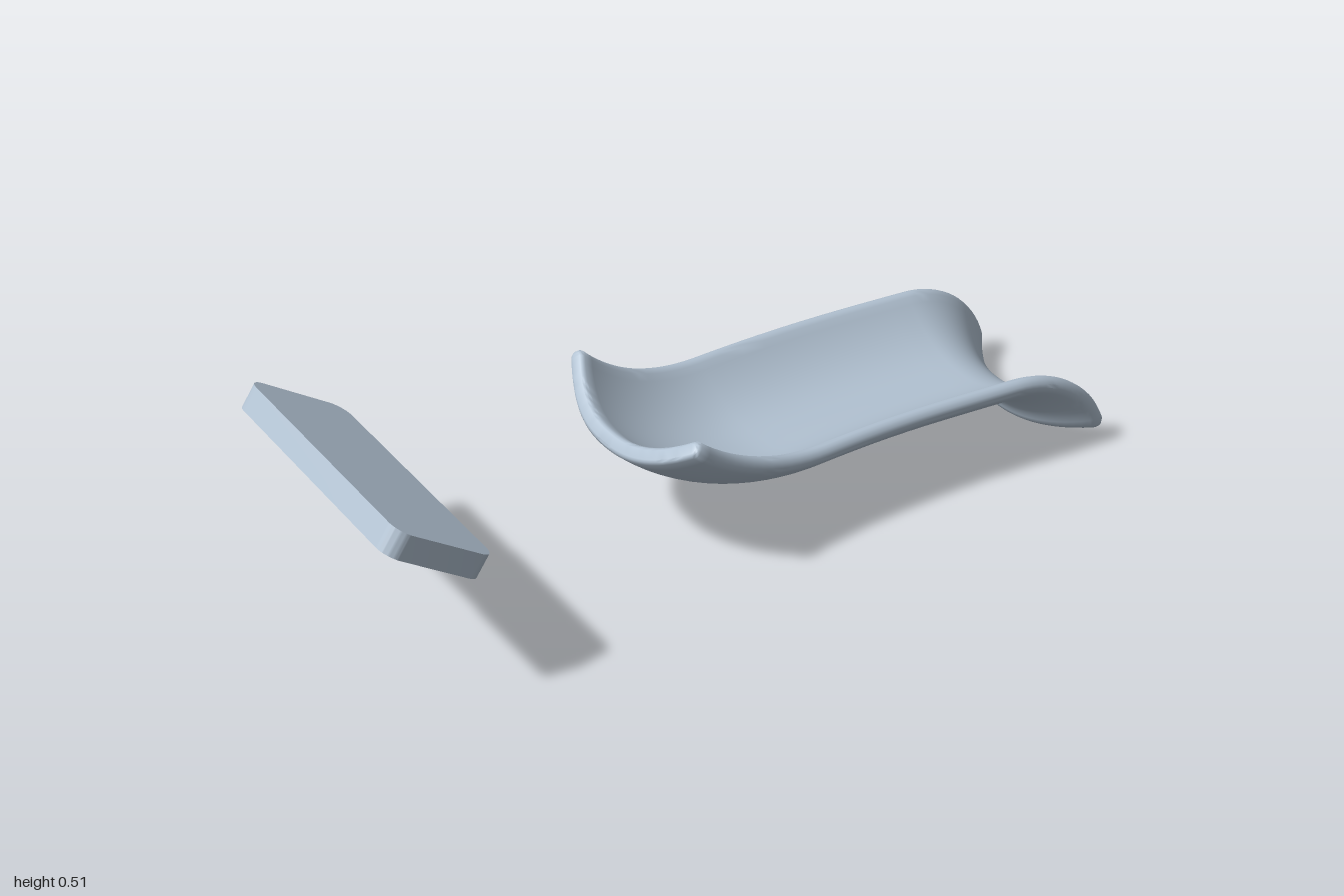
import * as THREE from 'three';
import { toCreasedNormals } from 'three/addons/utils/BufferGeometryUtils.js';

const HALF_THICK = 0.0225, HALF_WIDTH = 0.258, DEPTH = 0.106;
const rad = THREE.MathUtils.degToRad;

// Closed cross-section [across, up] of a shallow channel with rounded rims.
// Point j and point (length - 1 - j) face each other through the wall.
function section(h) {
  const side = (sign) => {
    const pts = [];
    const add = (p, along, out) => {
      const slope = Math.sign(p) * 2.3 * DEPTH / HALF_WIDTH * Math.abs(p) ** 1.3;
      const len = Math.hypot(1, slope);
      const tx = 1 / len, ty = slope / len;
      pts.push([
        HALF_WIDTH * p + h * (along * tx - out * ty),
        HALF_THICK + DEPTH * Math.abs(p) ** 2.3 + h * (along * ty + out * tx),
      ]);
    };
    for (const f of [15, 40, 65]) add(-1, -Math.cos(rad(f)), sign * Math.sin(rad(f)));
    for (let i = 0; i <= 32; i++) add(i / 16 - 1, 0, sign);
    for (const f of [65, 40, 15]) add(1, Math.cos(rad(f)), sign * Math.sin(rad(f)));
    return pts;
  };
  return [...side(-1), ...side(1).reverse()];
}

// Sections along the channel: upward bend, straight run, downward bend
function stations() {
  const list = [];
  const left = (deg, k) => list.push({ k, place: (n) => {
    const a = rad(deg), r = 0.68 - n;
    return [0.225 - r * Math.sin(a), 0.78 - r * Math.cos(a)];
  } });
  const right = (deg, k) => list.push({ k, place: (n) => {
    const a = rad(deg), r = 0.13 + n;
    return [0.84 + r * Math.sin(a), -0.03 + r * Math.cos(a)];
  } });
  left(44, 0.55); left(43.7, 0.8); left(43, 1);
  for (let i = 1; i <= 14; i++) left(43 * (1 - i / 14), 1);
  for (let i = 1; i < 10; i++) list.push({ k: 1, place: (n) => [0.225 + 0.0615 * i, 0.1 + n] });
  for (let i = 0; i <= 16; i++) right(70.5 * i / 16, 1);
  right(73, 0.8); right(74, 0.55);
  return list;
}

function channelGeometry() {
  const pos = [], index = [];
  const rings = stations();
  const m = section(HALF_THICK).length;
  for (const { k, place } of rings) {
    for (const [t, n] of section(HALF_THICK * k)) {
      const [s, y] = place(n);
      // Gentle sideways bow, sections staying square to it
      const q = Math.PI * THREE.MathUtils.clamp((s + 0.2) / 1.32, 0, 1);
      const bow = -0.03 * Math.sin(q) ** 2;
      const slope = -0.0714 * Math.sin(2 * q);
      pos.push(s - slope * t, y, t + bow);
    }
  }
  for (let a = 0; a < rings.length - 1; a++) {
    for (let j = 0; j < m; j++) {
      const b = a * m + j, c = a * m + (j + 1) % m;
      index.push(b, b + m, c, c, b + m, c + m);
    }
  }
  // End faces
  const last = (rings.length - 1) * m;
  for (let j = 0; j < m / 2 - 1; j++) {
    const o = m - 1 - j;
    index.push(j, j + 1, o, j + 1, o - 1, o);
    index.push(last + j, last + o, last + j + 1, last + j + 1, last + o, last + o - 1);
  }
  const geo = new THREE.BufferGeometry();
  geo.setAttribute('position', new THREE.Float32BufferAttribute(pos, 3));
  geo.setIndex(index);
  return toCreasedNormals(geo, 0.8);
}

// Flat slab with rounded corners, lying in xz
function slabGeometry(w, l, t, r) {
  const x = w / 2, y = l / 2;
  const shape = new THREE.Shape();
  shape.moveTo(-x + r, -y);
  shape.absarc(x - r, -y + r, r, -Math.PI / 2, 0);
  shape.absarc(x - r, y - r, r, 0, Math.PI / 2);
  shape.absarc(-x + r, y - r, r, Math.PI / 2, Math.PI);
  shape.absarc(-x + r, -y + r, r, Math.PI, Math.PI * 1.5);
  const geo = new THREE.ExtrudeGeometry(shape, { depth: t, bevelEnabled: false, curveSegments: 10 });
  geo.translate(0, 0, -t / 2).rotateX(-Math.PI / 2);
  return toCreasedNormals(geo, 0.6);
}

export function createModel() {
  const steel = new THREE.MeshStandardMaterial({ color: 0xb2c2d2 });
  steel.name = 'pale steel blue';

  const channel = new THREE.Mesh(channelGeometry(), steel);
  channel.name = 'curvedChannel';

  // Separate slab, sloping down towards the channel
  const slab = new THREE.Mesh(slabGeometry(0.292, 0.745, 0.065, 0.045), steel);
  slab.name = 'tiltedSlab';
  slab.position.set(-0.88, 0.403, -0.018);
  slab.rotation.set(rad(1.5), 0, rad(-33));

  const model = new THREE.Group();
  model.name = 'model';
  const parts = new THREE.Group();
  parts.name = 'diagonalParts';
  parts.rotation.y = rad(43.2);
  parts.add(channel, slab);
  model.add(parts);
  return model;
}
